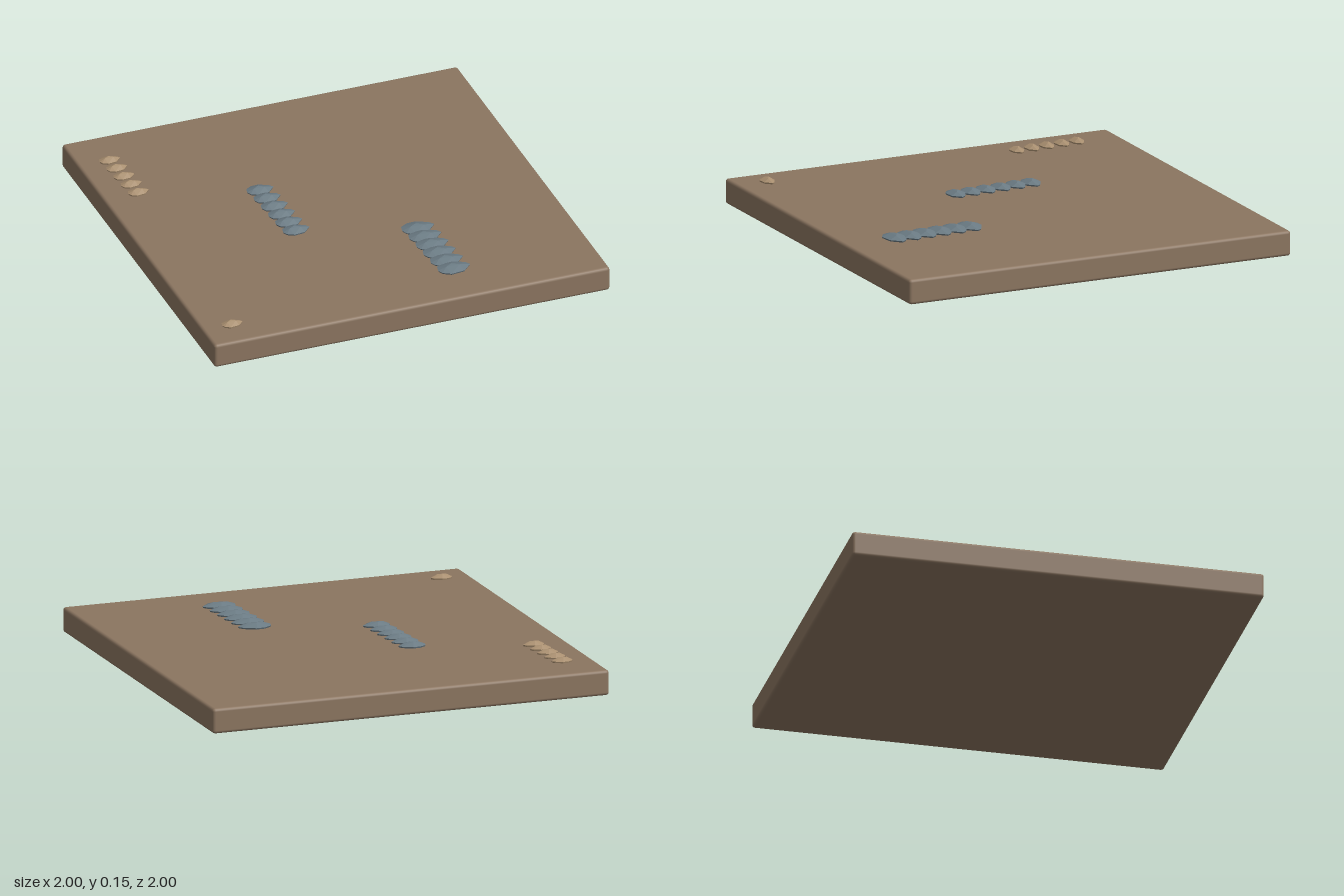
import * as THREE from 'three';
import { RoundedBoxGeometry } from 'three/addons/geometries/RoundedBoxGeometry.js';
import { ConvexGeometry } from 'three/addons/geometries/ConvexGeometry.js';

const SLAB_TOP = 0.123;

// Faceted stone: widest outline just above the ground, low ridge on top, buried base
function stoneGeometry() {
  const outline = [[-1, 0.1], [-0.9, -0.55], [-0.45, -0.95], [0.1, -1], [0.8, -0.45],
    [1, 0], [0.45, 0.85], [-0.4, 1], [-0.85, 0.6]];
  const points = [];
  for (const [x, z] of outline) {
    points.push(new THREE.Vector3(x, 0.3, z));
    points.push(new THREE.Vector3(x * 0.85, -0.5, z * 0.85));
  }
  // Ridge
  for (const [x, y, z] of [[-0.5, 0.85, 0.1], [-0.1, 1, -0.2], [0.3, 0.9, 0.15]]) {
    points.push(new THREE.Vector3(x, y, z));
  }
  return new ConvexGeometry(points);
}

export function createModel() {
  const model = new THREE.Group();
  const ground = new THREE.MeshStandardMaterial({ color: 0x8b7560 });
  const tan = new THREE.MeshStandardMaterial({ color: 0xa98f70, flatShading: true });
  const slate = new THREE.MeshStandardMaterial({ color: 0x6b7b84, flatShading: true });

  // Ground slab with softly rounded edges
  const slab = new THREE.Mesh(new RoundedBoxGeometry(2, SLAB_TOP, 2, 2, 0.015), ground);
  slab.name = 'groundSlab';
  slab.position.y = SLAB_TOP / 2;
  model.add(slab);

  // Rows of stones, each drifting slightly sideways as it runs forward
  const stone = stoneGeometry();
  const rows = [
    { name: 'smallStoneRow', count: 5, x: -0.845, z: -0.773, width: 0.105, depth: 0.068, material: tan },
    { name: 'loneStone', count: 1, x: -0.852, z: 0.846, width: 0.105, depth: 0.068, material: tan },
    { name: 'middleStoneRow', count: 6, x: -0.283, z: -0.26, width: 0.135, depth: 0.09, material: slate },
    { name: 'largeStoneRow', count: 6, x: 0.285, z: 0.335, width: 0.165, depth: 0.11, material: slate },
  ];
  for (const row of rows) {
    const group = new THREE.Group();
    group.name = row.name;
    for (let i = 0; i < row.count; i++) {
      const mesh = new THREE.Mesh(stone, row.material);
      mesh.name = 'stone';
      mesh.position.set(row.x + i * 0.005, SLAB_TOP, row.z + i * 0.081);
      mesh.scale.set(row.width / 2, 0.024, row.depth / 2);
      group.add(mesh);
    }
    model.add(group);
  }
  return model;
}
